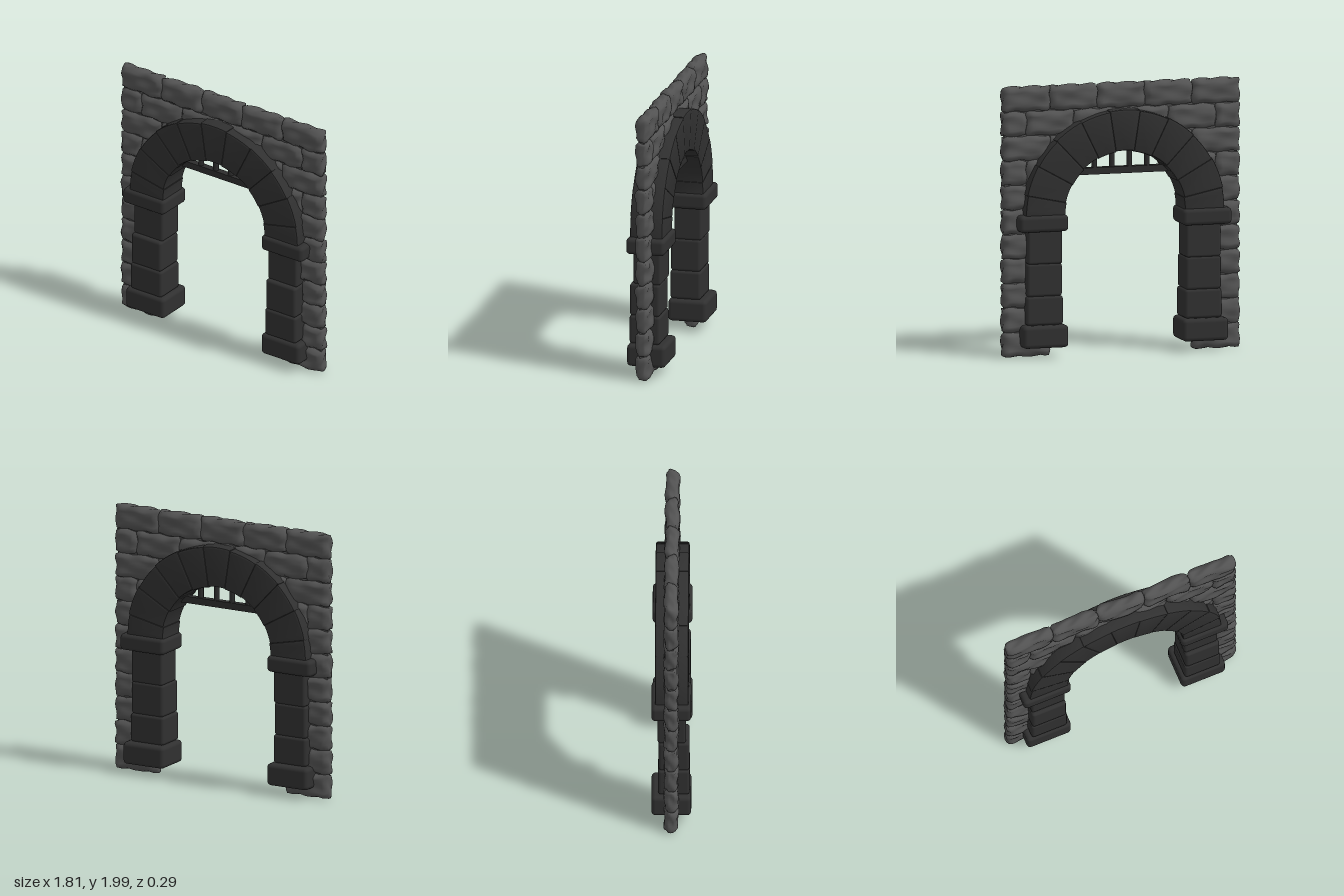
import * as THREE from 'three';
import { mergeVertices, toCreasedNormals } from 'three/addons/utils/BufferGeometryUtils.js';
import { RoundedBoxGeometry } from 'three/addons/geometries/RoundedBoxGeometry.js';

const SPRING = 1.05;            // height where the arch begins
const ROW = 0.18, FIRST = 0.016; // masonry courses

function material(name, color) {
  const m = new THREE.MeshStandardMaterial({ color });
  m.name = name;
  return m;
}

function add(parent, name, geometry, mat, x = 0, y = 0, z = 0) {
  const mesh = new THREE.Mesh(geometry, mat);
  mesh.name = name;
  mesh.position.set(x, y, z);
  parent.add(mesh);
  return mesh;
}

// Rough stone: a pillowed, wavy box that is kept clear of the doorway
function roughStone(x0, x1, y0, y1, seed) {
  const w = x1 - x0, h = y1 - y0, cx = (x0 + x1) / 2, cy = (y0 + y1) / 2;
  let g = new THREE.BoxGeometry(2, 2, 2, Math.max(8, Math.round(w * 44)), 9, 4);
  g.deleteAttribute('uv');
  g.deleteAttribute('normal');
  g = mergeVertices(g);
  const p = g.attributes.position;
  for (let i = 0; i < p.count; i++) {
    const u = p.getX(i), v = p.getY(i), s = p.getZ(i);
    const edge = Math.max(Math.abs(u), Math.abs(v));
    let x = cx + u * w / 2 * (1 - 0.03 * v ** 8 - 0.02 * s ** 4);
    let y = cy + v * h / 2 * (1 - 0.06 * u ** 8 - 0.05 * s ** 4);
    // wavy outline and lumpy faces
    x += 0.006 * u * Math.sin(y * 47 + s * 2 + seed * 3.1);
    y += 0.006 * v * Math.sin(x * 39 + s * 2 + seed * 1.7);
    const lump = 0.005 * Math.sin(x * 21 + y * 33 + seed * 2.3 + s)
      + 0.004 * Math.sin(y * 58 - x * 17 + seed * 4.1 + s * 2);
    const z = s * (0.049 + lump) * (1 - 0.4 * edge ** 14);
    // doorway clearance, hidden inside the arch and pillars
    if (y > SPRING) {
      const r = Math.hypot(x, y - SPRING);
      if (r < 0.6) {
        x *= 0.6 / r;
        y = SPRING + (y - SPRING) * 0.6 / r;
      }
    } else if (Math.abs(x) < 0.54) x = Math.sign(cx) * 0.54;
    p.setXYZ(i, x, y, z);
  }
  g.computeVertexNormals();
  return g;
}

function isInsideDoor(x0, x1, y0, y1) {
  const far = Math.max(Math.abs(x0), Math.abs(x1));
  if (y0 < SPRING) return far < 0.55;
  return Math.hypot(far, y1 - SPRING) < 0.64;
}

// One wedge stone of the arch
function wedge(a0, a1, inner, outer) {
  const s = new THREE.Shape();
  s.absarc(0, 0, outer, a0, a1, false);
  s.absarc(0, 0, inner, a1, a0, true);
  const bevel = 0.014, depth = 0.245;
  const g = new THREE.ExtrudeGeometry(s, {
    depth: depth - 2 * bevel, curveSegments: 5, bevelEnabled: true,
    bevelSize: bevel, bevelOffset: -bevel * 0.85, bevelThickness: bevel, bevelSegments: 2
  });
  g.translate(0, 0, -depth / 2 + bevel);
  return toCreasedNormals(g, 0.6);
}

export function createModel() {
  const model = new THREE.Group();
  model.name = 'stoneGateway';
  const wallStone = material('wall stone', 0x525252);
  const archStone = material('dark arch stone', 0x303030);
  const iron = material('iron', 0x2c2c2c);

  // Masonry wall in a running bond
  const wall = new THREE.Group();
  wall.name = 'wall';
  model.add(wall);
  for (let row = 0; row < 11; row++) {
    const joints = row % 2 ? [-0.9, -0.72, -0.36, 0, 0.36, 0.72, 0.9]
      : [-0.9, -0.54, -0.18, 0.18, 0.54, 0.9];
    const y0 = FIRST + row * ROW, y1 = y0 + ROW;
    for (let i = 0; i + 1 < joints.length; i++) {
      const x0 = joints[i], x1 = joints[i + 1];
      if (isInsideDoor(x0, x1, y0, y1)) continue;
      add(wall, 'wallStone', roughStone(x0, x1, y0, y1, row * 7 + i), wallStone);
    }
  }

  // Thin core behind the joints
  const core = new THREE.Shape();
  core.moveTo(-0.885, 0.1);
  core.lineTo(-0.56, 0.1);
  core.lineTo(-0.56, SPRING);
  core.absarc(0, SPRING, 0.56, Math.PI, 0, true);
  core.lineTo(0.56, 0.1);
  core.lineTo(0.885, 0.1);
  core.lineTo(0.885, 1.84);
  core.lineTo(-0.885, 1.84);
  core.closePath();
  const coreGeometry = new THREE.ExtrudeGeometry(core, { depth: 0.036, bevelEnabled: false, curveSegments: 24 });
  add(wall, 'wallCore', coreGeometry, wallStone, 0, 0, -0.018);

  // Arch ring: short springers with nine wedges between them
  const gate = new THREE.Group();
  gate.name = 'archway';
  gate.position.x = -0.005;
  model.add(gate);
  const first = THREE.MathUtils.degToRad(12), step = (Math.PI - 2 * first) / 9;
  const angles = [0];
  for (let i = 0; i <= 9; i++) angles.push(first + i * step);
  angles.push(Math.PI);
  for (let i = 0; i + 1 < angles.length; i++) {
    const shift = i % 2 ? 0.003 : -0.003;
    add(gate, 'archStone', wedge(angles[i], angles[i + 1], 0.458 + shift, 0.756 + shift), archStone, 0, SPRING, 0.003);
  }

  // Pillars: inner x, outer x, bottom, top, back z, front z, edge radius
  const blocks = [
    ['pillarBase', 0.435, 0.78, 0.085, 0.25, -0.145, 0.145, 0.03],
    ['pillarLowerBlock', 0.463, 0.742, 0.248, 0.462, -0.096, 0.134, 0.022],
    ['pillarMiddleBlock', 0.47, 0.737, 0.458, 0.702, -0.092, 0.132, 0.022],
    ['pillarUpperBlock', 0.47, 0.732, 0.698, 0.945, -0.1, 0.106, 0.018],
    ['impost', 0.435, 0.806, 0.938, 1.06, -0.145, 0.145, 0.03]
  ];
  for (const side of [-1, 1]) {
    for (const [name, x0, x1, y0, y1, z0, z1, r] of blocks) {
      const g = new RoundedBoxGeometry(x1 - x0, y1 - y0, z1 - z0, 2, r);
      add(gate, name, g, archStone, side * (x0 + x1) / 2, (y0 + y1) / 2, (z0 + z1) / 2);
    }
  }

  // Raised grate under the crown of the arch
  const grate = new THREE.Group();
  grate.name = 'grate';
  gate.add(grate);
  add(grate, 'crossBar', new THREE.BoxGeometry(0.84, 0.05, 0.05), iron, 0, 1.355, 0);
  for (let i = 0; i < 6; i++) {
    const x = (i - 2.5) * 0.133;
    const top = SPRING + Math.sqrt(0.52 ** 2 - x * x);
    add(grate, 'uprightBar', new THREE.CylinderGeometry(0.021, 0.021, top - 1.34, 8), iron, x, (top + 1.34) / 2, 0);
  }
  return model;
}
